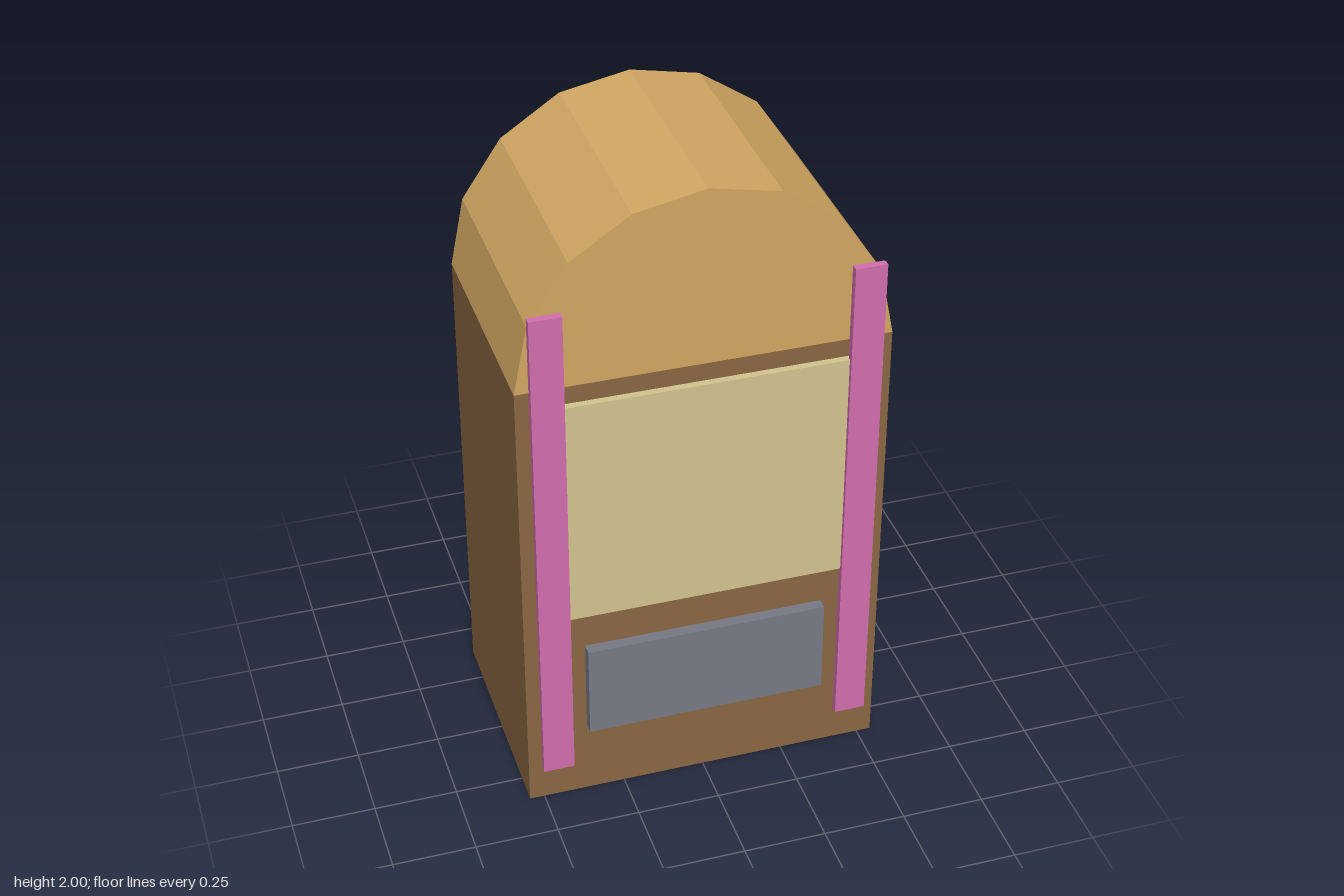
import * as THREE from 'three';

const mat = (name, color) => {
  const m = new THREE.MeshStandardMaterial({ color });
  m.name = name;
  return m;
};

export function createModel() {
  const group = new THREE.Group();
  const brown = mat('dark wood', 0x8b6744);
  const tan = mat('light wood', 0xd4a963);
  const cream = mat('cream', 0xd4c590);
  const pink = mat('pink', 0xd46fb0);
  const grey = mat('slate grey', 0x777b86);

  // Box given by its low and high corners
  const box = (name, material, lo, hi) => {
    const size = hi.map((h, i) => h - lo[i]);
    const mesh = new THREE.Mesh(new THREE.BoxGeometry(...size), material);
    mesh.position.set(...hi.map((h, i) => (h + lo[i]) / 2));
    mesh.name = name;
    group.add(mesh);
  };

  const R = 0.545, springY = 1.455, back = -0.382, front = 0.345;

  // Cabinet body
  box('body', brown, [-R, 0, back], [R, springY, front]);

  // Faceted half-round top
  const arc = [];
  for (let i = 0; i <= 8; i++) {
    const a = (i / 8) * Math.PI;
    arc.push(new THREE.Vector2(R * Math.cos(a), R * Math.sin(a)));
  }
  const roof = new THREE.Mesh(
    new THREE.ExtrudeGeometry(new THREE.Shape(arc), { depth: front - back, bevelEnabled: false }),
    tan
  );
  roof.position.set(0, springY, back);
  roof.name = 'archedTop';
  group.add(roof);

  // Front panels
  box('upperPanel', cream, [-0.425, 0.67, front], [0.425, 1.4, 0.367]);
  box('lowerPanel', grey, [-0.363, 0.247, front], [0.363, 0.547, 0.38]);

  // Upright strips on both sides, standing just off the front
  box('leftStrip', pink, [0.413, 0.127, 0.357], [0.507, 1.7, 0.38]);
  box('rightStrip', pink, [-0.507, 0.127, 0.357], [-0.413, 1.7, 0.38]);

  return group;
}
